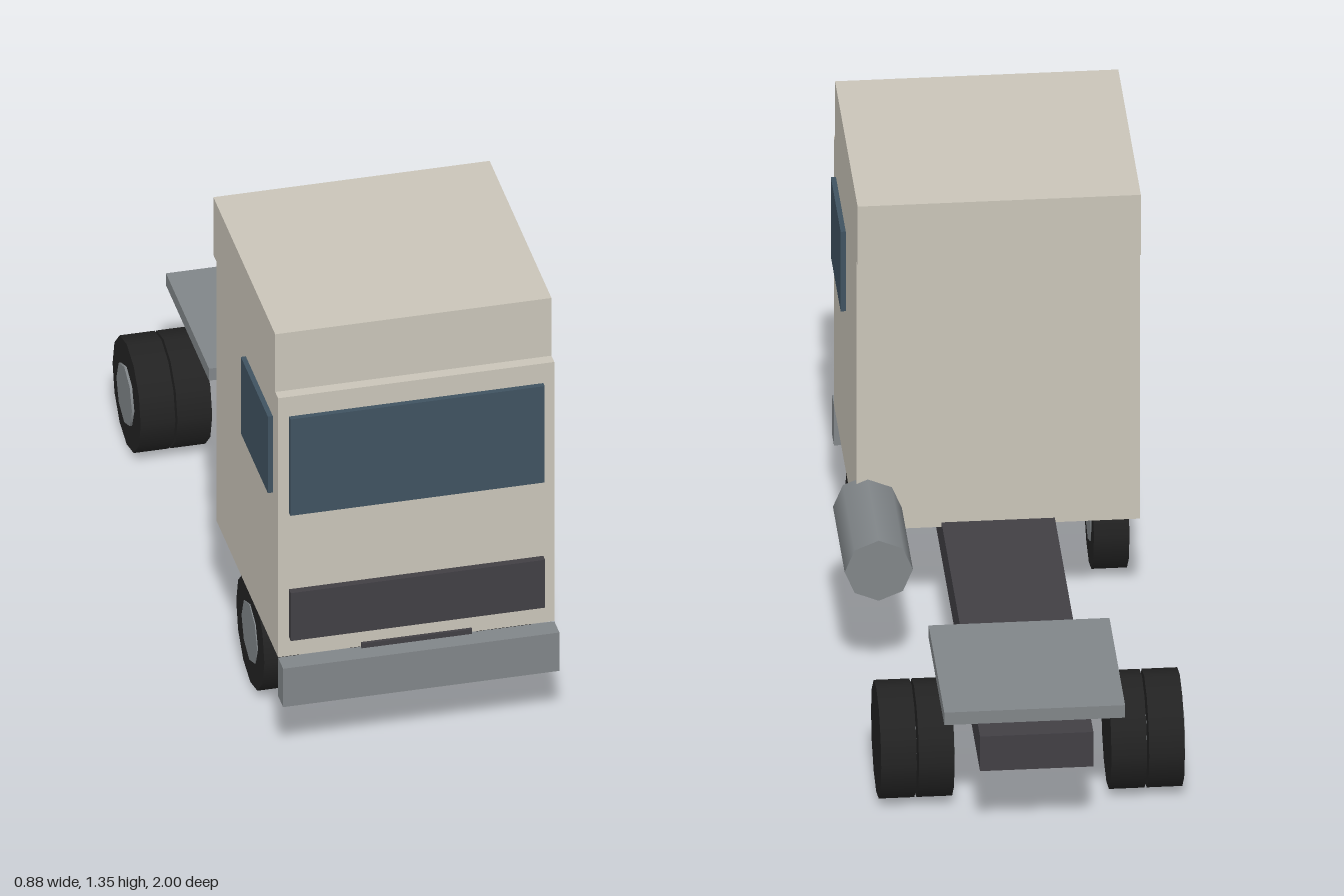
import * as THREE from 'three';

const paint = (name, color) => {
  const m = new THREE.MeshStandardMaterial({ color });
  m.name = name;
  return m;
};

export function createModel() {
  const truck = new THREE.Group();
  truck.name = 'tractorTruck';
  const cream = paint('creamPaint', 0xc9c4b8);
  const glass = paint('blueGlass', 0x3f5260);
  const dark = paint('darkFrame', 0x413f44);
  const metal = paint('greyMetal', 0x808588);
  const rubber = paint('blackRubber', 0x222222);
  const mid = -0.016; // the body sits slightly to one side of the tank

  const add = (name, geometry, material, x, y, z) => {
    const mesh = new THREE.Mesh(geometry, material);
    mesh.name = name;
    mesh.position.set(x, y, z);
    truck.add(mesh);
    return mesh;
  };
  // Box given by its limits on each axis
  const box = (name, material, [x0, x1], [y0, y1], [z0, z1]) =>
    add(name, new THREE.BoxGeometry(x1 - x0, y1 - y0, z1 - z0), material,
      (x0 + x1) / 2, (y0 + y1) / 2, (z0 + z1) / 2);
  const across = (half) => [mid - half, mid + half];

  // Frame and coupling plate
  box('chassis', dark, across(0.156), [0.222, 0.33], [-1, 0.95]);
  box('couplingPlate', metal, across(0.249), [0.336, 0.375], [-0.937, -0.438]);

  // Cab
  box('cab', cream, across(0.39), [0.316, 1.16], [0.225, 0.941]);
  box('roof', cream, across(0.39), [1.16, 1.348], [0.191, 0.908]);
  box('bumper', metal, across(0.39), [0.19, 0.315], [0.941, 1]);
  box('windscreen', glass, across(0.359), [0.782, 1.096], [0.941, 0.957]);
  box('grille', dark, across(0.359), [0.377, 0.533], [0.941, 0.962]);
  for (const side of [-1, 1]) {
    const edge = mid + side * 0.39;
    box('sideWindow', glass, [edge, edge + side * 0.014].sort((a, b) => a - b),
      [0.815, 1.064], [0.567, 0.88]);
  }

  // Fuel tank on one side only
  const tank = new THREE.CylinderGeometry(0.094, 0.094, 0.374, 8).rotateX(Math.PI / 2);
  add('fuelTank', tank, metal, 0.343, 0.38, 0.062);

  // Wheels
  const tyre = new THREE.CylinderGeometry(0.163, 0.163, 0.098, 12).rotateZ(Math.PI / 2);
  const hub = new THREE.CylinderGeometry(0.09, 0.09, 0.104, 8).rotateZ(Math.PI / 2);
  const wheel = (name, x, z, hubShift) => {
    add(name + 'Tyre', tyre, rubber, x, 0.163, z);
    add(name + 'Hub', hub, metal, x + hubShift, 0.163, z);
  };
  for (const side of [-1, 1]) {
    wheel('front', mid + side * 0.328, 0.566, 0);
    // Paired rear wheels
    wheel('rearOuter', -0.019 + side * 0.369, -0.687, -0.004);
    wheel('rearInner', -0.019 + side * 0.265, -0.687, -0.004);
  }
  return truck;
}
